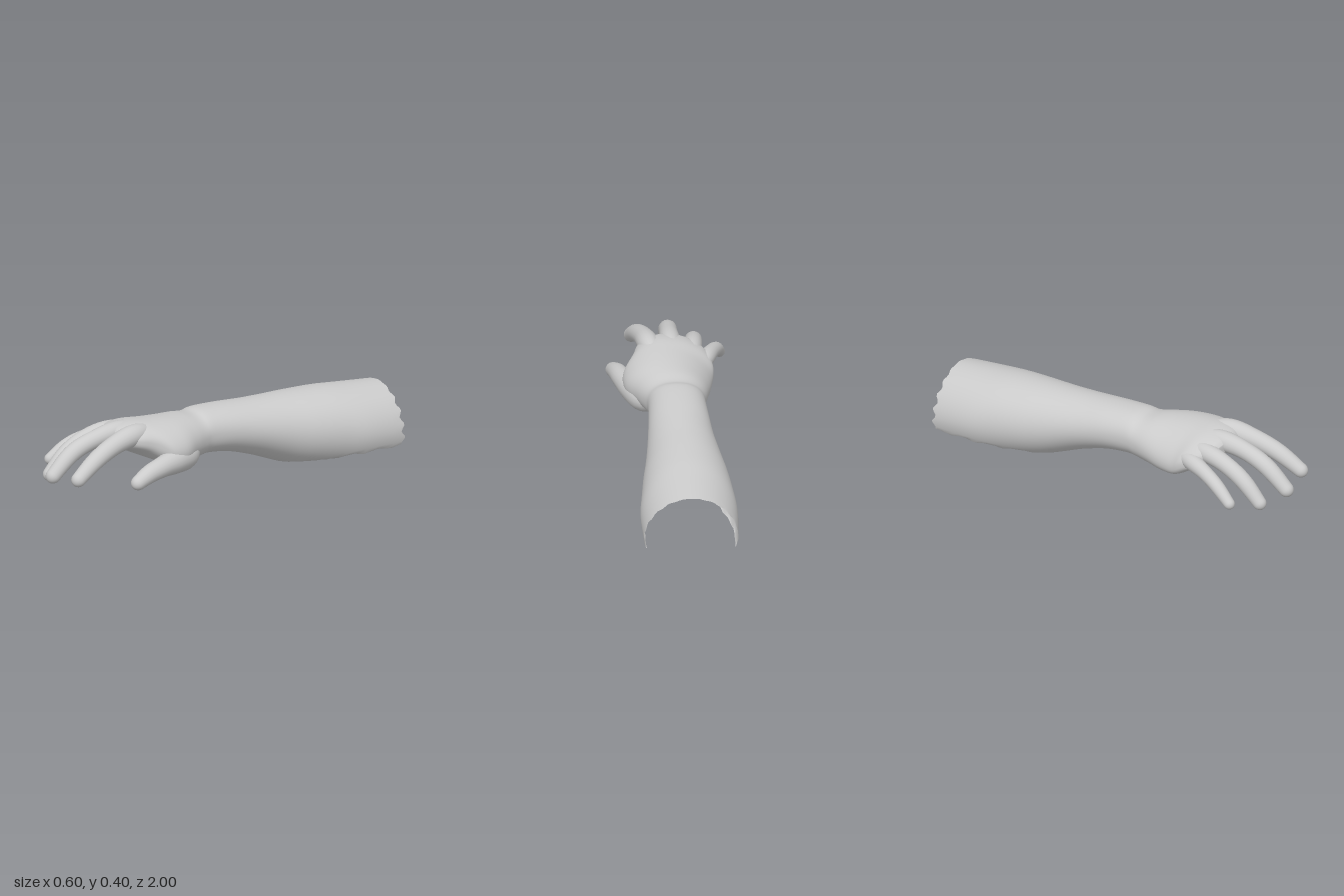
import * as THREE from 'three';
import { mergeVertices } from 'three/addons/utils/BufferGeometryUtils.js';

const material = new THREE.MeshStandardMaterial({ color: 0xcccccc, side: THREE.DoubleSide });

// Skin a list of rings (arrays of Vector3 with equal length) into a smooth surface
function loft(rings, name) {
  const n = rings[0].length, index = [];
  for (let i = 0; i < rings.length - 1; i++) {
    for (let j = 0; j < n - 1; j++) {
      const a = i * n + j, b = a + 1, c = a + n, d = c + 1;
      index.push(a, b, c, b, d, c);
    }
  }
  let geometry = new THREE.BufferGeometry().setFromPoints(rings.flat());
  geometry.setIndex(index);
  geometry = mergeVertices(geometry, 1e-5);
  geometry.computeVertexNormals();
  const mesh = new THREE.Mesh(geometry, material);
  mesh.name = name;
  return mesh;
}

// Smooth interpolation of one number through four neighbours
function spline(a, b, c, d, t) {
  const m0 = (c - a) / 2, m1 = (d - b) / 2, t2 = t * t, t3 = t2 * t;
  return (2 * t3 - 3 * t2 + 1) * b + (t3 - 2 * t2 + t) * m0 + (3 * t2 - 2 * t3) * c + (t3 - t2) * m1;
}

// Forearm and palm: z, left edge, right edge, top, bottom, arch, squareness, opening start and end angle
const sections = [
  [-1.00, -0.250, 0.214, 0.285, -0.15, 0, 1.05, -19, 199],
  [-0.80, -0.260, 0.220, 0.305, -0.12, 0, 1.03, -25, 205],
  [-0.66, -0.250, 0.206, 0.320, -0.09, 0, 1, -36, 214],
  [-0.52, -0.235, 0.189, 0.329, -0.055, 0, 1, -62, 224],
  [-0.42, -0.219, 0.173, 0.334, -0.025, 0, 1, -90, 236],
  [-0.33, -0.203, 0.160, 0.338, 0.012, 0, 1, -105, 255],
  [-0.20, -0.182, 0.145, 0.346, 0.066, 0, 1, -105, 255],
  [-0.05, -0.168, 0.132, 0.357, 0.115, 0, 0.95, -105, 255],
  [0.08, -0.160, 0.126, 0.362, 0.135, 0.002, 0.9, -105, 255],
  [0.14, -0.163, 0.138, 0.352, 0.134, 0.004, 0.9, -105, 255],
  [0.22, -0.180, 0.175, 0.366, 0.130, 0.012, 0.95, -105, 255],
  [0.32, -0.200, 0.225, 0.378, 0.138, 0.026, 0.95, -105, 255],
  [0.42, -0.216, 0.226, 0.387, 0.180, 0.037, 0.9, -105, 255],
  [0.52, -0.222, 0.178, 0.393, 0.235, 0.036, 0.8, -105, 255],
  [0.60, -0.200, 0.148, 0.380, 0.275, 0.030, 0.8, -105, 255],
  [0.63, -0.120, 0.090, 0.358, 0.305, 0.020, 1, -105, 255],
];

function sectionRing([z, xl, xr, top, bottom, arch, power, start, end], isBack) {
  const ring = [], count = 56;
  const bend = (v) => Math.sign(v) * Math.abs(v) ** power;
  const open = end - start < 359;
  const sweep = 0.06 * THREE.MathUtils.smoothstep(z, 0.35, 0.6);
  for (let j = 0; j <= count; j++) {
    const a = THREE.MathUtils.degToRad(start + (end - start) * j / count);
    const x = (xl + xr) / 2 + bend(Math.cos(a)) * (xr - xl) / 2;
    // The hand arches around its crest and its front edge curves back at the sides
    let y = (top + bottom) / 2 + bend(Math.sin(a)) * (top - bottom) / 2 - arch * ((x - 0.05) / 0.2) ** 2;
    y = Math.max(y, 0);
    // Torn edges along the underside and at the back
    if (open && (j === 0 || j === count)) y += 0.007 * (1 + Math.sin(z * 43 + j));
    const tear = isBack ? 0.022 * Math.abs(Math.cos(a)) * (1 + Math.sin(j * 1.3)) / 2 : 0;
    ring.push(new THREE.Vector3(x, y, z + tear - sweep * (x / 0.2) ** 2));
  }
  return ring;
}

function makeArm() {
  const rings = [], steps = 5, last = sections.length - 1;
  for (let i = 0; i < last; i++) {
    const at = (k) => sections[THREE.MathUtils.clamp(k, 0, last)];
    for (let s = 0; s < steps; s++) {
      const row = at(i).map((v, k) => spline(at(i - 1)[k], v, at(i + 1)[k], at(i + 2)[k], s / steps));
      row[7] = Math.max(row[7], -105);
      row[8] = Math.min(row[8], 255);
      rings.push(sectionRing(row, i + s === 0));
    }
  }
  // Close the front of the palm at a point
  rings.push(sectionRing(sections[last], false));
  rings.push(rings[0].map(() => new THREE.Vector3(-0.015, 0.325, 0.637)));
  return loft(rings, 'forearmAndPalm');
}

// Digit: tapering round sweep along a curve, with a rounded tip
function makeDigit({ name, path, radii }) {
  const curve = new THREE.CatmullRomCurve3(path.map((p) => new THREE.Vector3(...p)));
  const length = curve.getLength(), steps = 36, sides = 20, rings = [];
  const up = new THREE.Vector3(0, 1, 0);
  for (let i = 0; i <= steps; i++) {
    const u = 1 - (1 - i / steps) ** 2;
    const centre = curve.getPointAt(u), tangent = curve.getTangentAt(u);
    const side = up.clone().cross(tangent).normalize();
    const normal = tangent.clone().cross(side);
    const f = u * (radii.length - 1), k = Math.min(Math.floor(f), radii.length - 2);
    const at = (m) => radii[THREE.MathUtils.clamp(m, 0, radii.length - 1)];
    let r = spline(at(k - 1), at(k), at(k + 1), at(k + 2), f - k);
    const left = length * (1 - u);
    if (left < r) r *= Math.sqrt(Math.max(0, 1 - (1 - left / r) ** 2));
    const ring = [];
    for (let j = 0; j <= sides; j++) {
      const a = (j % sides) / sides * Math.PI * 2;
      ring.push(centre.clone().addScaledVector(side, r * Math.cos(a)).addScaledVector(normal, r * Math.sin(a)));
    }
    rings.push(ring);
  }
  return loft(rings, name);
}

const digits = [
  { name: 'littleFinger', radii: [0.025, 0.042, 0.037, 0.034, 0.027],
    path: [[-0.150, 0.275, 0.40], [-0.188, 0.276, 0.52], [-0.222, 0.262, 0.62], [-0.25, 0.23, 0.71], [-0.278, 0.152, 0.825]] },
  { name: 'ringFinger', radii: [0.025, 0.046, 0.043, 0.041, 0.033],
    path: [[-0.095, 0.305, 0.40], [-0.120, 0.314, 0.54], [-0.136, 0.296, 0.67], [-0.143, 0.24, 0.79], [-0.145, 0.12, 0.92]] },
  { name: 'middleFinger', radii: [0.025, 0.051, 0.045, 0.043, 0.036],
    path: [[-0.025, 0.325, 0.40], [-0.018, 0.340, 0.55], [-0.016, 0.330, 0.69], [-0.02, 0.283, 0.84], [-0.016, 0.161, 0.995]] },
  { name: 'indexFinger', radii: [0.025, 0.053, 0.048, 0.043, 0.035],
    path: [[0.055, 0.325, 0.39], [0.088, 0.345, 0.54], [0.108, 0.328, 0.67], [0.133, 0.28, 0.81], [0.158, 0.188, 0.965]] },
  { name: 'thumb', radii: [0.03, 0.068, 0.066, 0.053, 0.045, 0.034],
    path: [[0.06, 0.225, 0.17], [0.13, 0.198, 0.27], [0.186, 0.200, 0.38], [0.224, 0.200, 0.48], [0.244, 0.188, 0.57], [0.269, 0.152, 0.685]] },
];

export function createModel() {
  const arm = new THREE.Group();
  arm.name = 'handAndForearm';
  arm.add(makeArm(), ...digits.map(makeDigit));
  return arm;
}
